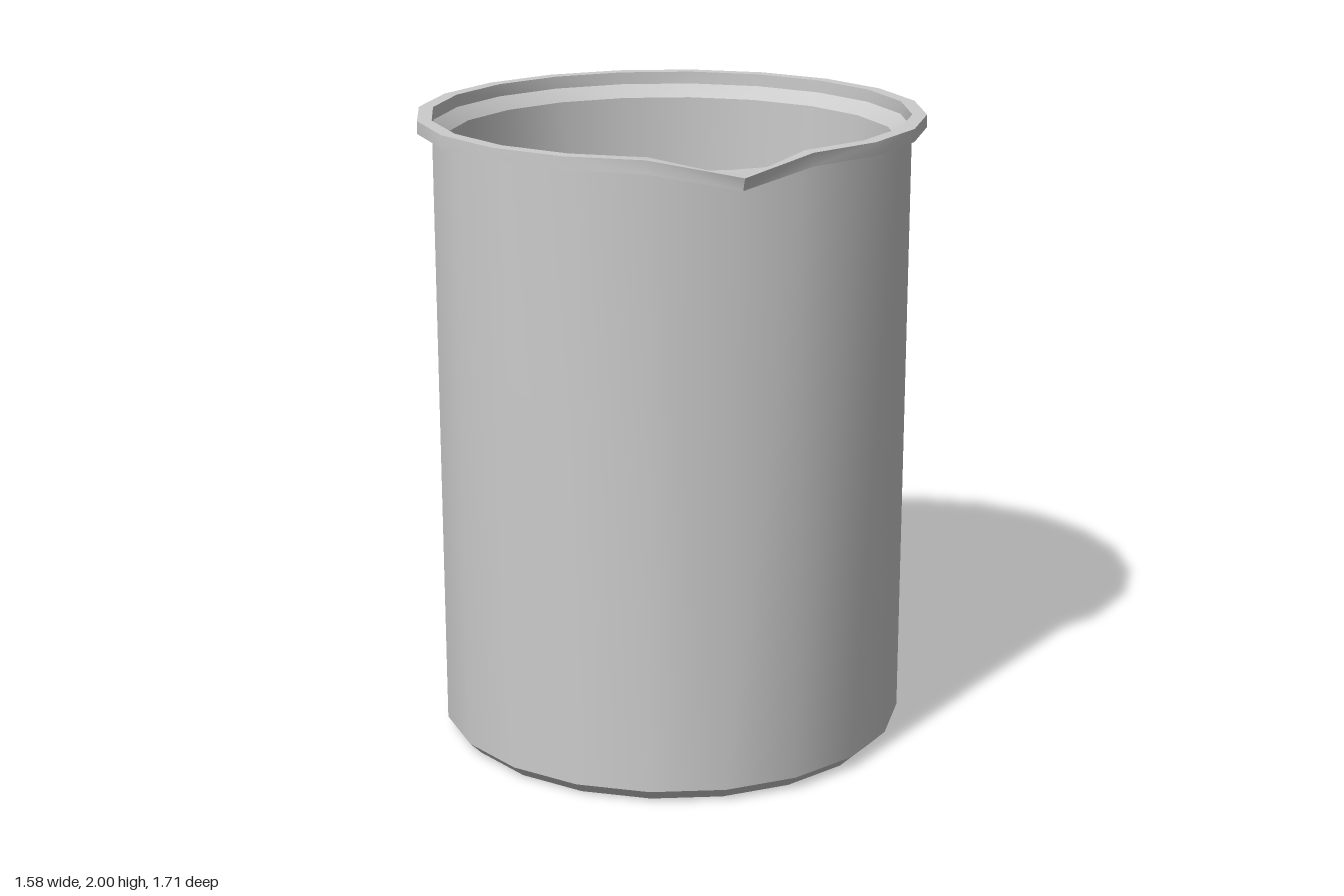
import * as THREE from 'three';
import { toCreasedNormals } from 'three/addons/utils/BufferGeometryUtils.js';

const SIDES = 20;

// Closed cross-section, from the underside centre up the outside, over the lip and down the inside.
// Optional third and fourth numbers: radius and height where the ring is pulled out into the spout.
const PROFILE = [
  [0, 0], [0.705, 0],
  [0.745, 0.04], [0.745, 1.96],                    // bottom bevel and outer wall
  [0.79, 1.96, 0.895, 1.93],                       // lip underside
  [0.79, 2, 0.915, 1.97],                          // lip outer edge
  [0.745, 2, 0.88, 1.963],                         // lip inner edge
  [0.745, 1.96], [0.705, 1.92],                    // bevel inside the lip
  [0.705, 0.04], [0, 0.04],                        // inner wall and floor
];

function beakerGeometry() {
  const n = PROFILE.length;
  const geo = new THREE.LatheGeometry(PROFILE.map(([r, y]) => new THREE.Vector2(r, y)), SIDES);

  // Pull the front column of vertices (first and last of the lathe) out into the spout
  const pos = geo.attributes.position;
  for (const column of [0, SIDES]) {
    PROFILE.forEach(([r, y, spoutR = r, spoutY = y], j) => {
      pos.setXYZ(column * n + j, 0, spoutY, spoutR);
    });
  }

  // Flip the diagonals on one half so that the spout is symmetrical
  const index = [];
  for (let i = 0; i < SIDES; i++) {
    for (let j = 0; j < n - 1; j++) {
      const a = i * n + j, b = a + n, c = b + 1, d = a + 1;
      if (i < SIDES / 2) index.push(a, b, c, a, c, d);
      else index.push(a, b, d, c, d, b);
    }
  }
  geo.setIndex(index);
  return toCreasedNormals(geo, Math.PI / 6);
}

export function createModel() {
  const group = new THREE.Group();
  group.name = 'beaker';
  const material = new THREE.MeshStandardMaterial({ color: 0xcccccc });
  const body = new THREE.Mesh(beakerGeometry(), material);
  body.name = 'beakerBody';
  body.position.z = -0.065;
  group.add(body);
  return group;
}
